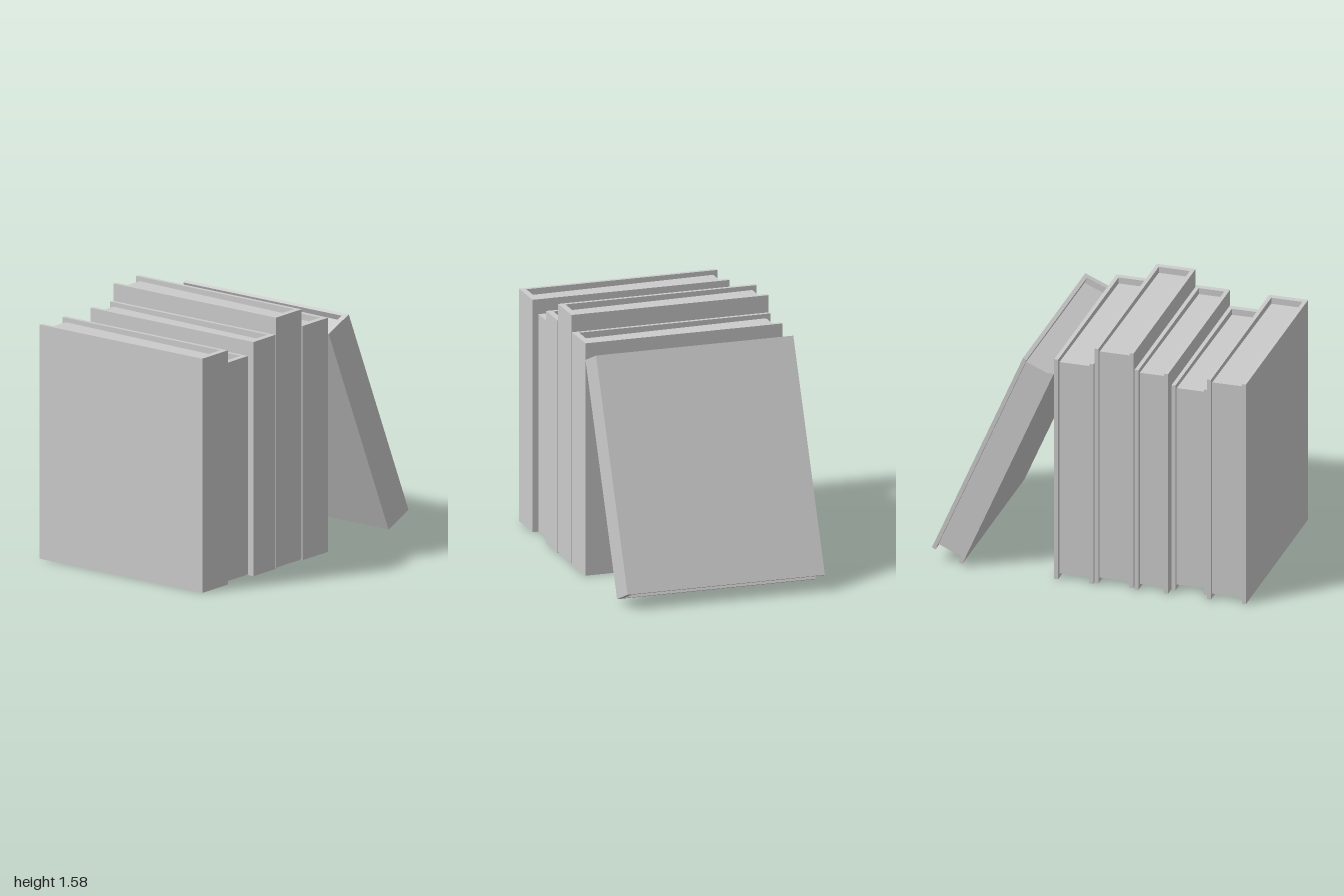
import * as THREE from 'three';

const BOARD = 0.025, SPINE = 0.038, BACK_INSET = 0.027;
const material = new THREE.MeshStandardMaterial({ color: 0xcccccc, flatShading: true });

function polygon(points) {
  return new THREE.Shape(points.map(([x, y]) => new THREE.Vector2(x, y)));
}

function extrude(points, depth) {
  return new THREE.ExtrudeGeometry(polygon(points), { depth, bevelEnabled: false });
}

// A book standing on its lower edge, centred, with the spine at +z
function makeBook(name, w, h, front, back) {
  const book = new THREE.Group();
  book.name = name;
  const x = w / 2, inner = x - BOARD;

  // Cover: two boards and the spine as one U-shaped section, raised along y
  const coverGeometry = extrude([
    [-x, -front], [x, -front], [x, -back], [inner, -back],
    [inner, -front + SPINE], [-inner, -front + SPINE], [-inner, -back], [-x, -back],
  ], h).rotateX(-Math.PI / 2);
  const cover = new THREE.Mesh(coverGeometry, material);
  cover.name = 'cover';

  // Page block: recessed between the boards, slightly taller at the open side
  const zf = front - SPINE, zb = back + BACK_INSET, low = 0.04, high = 0.028;
  const pagesGeometry = extrude([
    [-zf, low], [-zb, high], [-zb, h - high], [-zf, h - low],
  ], inner * 2).rotateY(Math.PI / 2).translate(-inner, 0, 0);
  const pages = new THREE.Mesh(pagesGeometry, material);
  pages.name = 'pages';

  book.add(cover, pages);
  return book;
}

export function createModel() {
  const model = new THREE.Group();
  model.name = 'rowOfBooks';

  // Upright books: left edge, right edge, bottom, top, spine z, open side z
  const upright = [
    [-1.0, -0.752, 0.003, 1.477, 0.633, -0.635],
    [-0.744, -0.512, 0.01, 1.385, 0.598, -0.59],
    [-0.504, -0.291, 0.003, 1.477, 0.633, -0.635],
    [-0.284, -0.036, 0.01, 1.584, 0.633, -0.635],
    [-0.029, 0.22, 0.003, 1.477, 0.633, -0.635],
  ];
  upright.forEach(([x0, x1, y0, y1, front, back], i) => {
    const book = makeBook(`uprightBook${i + 1}`, x1 - x0, y1 - y0, front, back);
    book.position.set((x0 + x1) / 2, y0, 0);
    model.add(book);
  });

  // Leaning book, tilted against the end of the row
  const leaning = makeBook('leaningBook', 0.211, 1.472, 0.635, -0.635);
  leaning.position.set(0.902, 0.062, 0);
  leaning.rotation.z = 0.405;
  model.add(leaning);

  return model;
}
